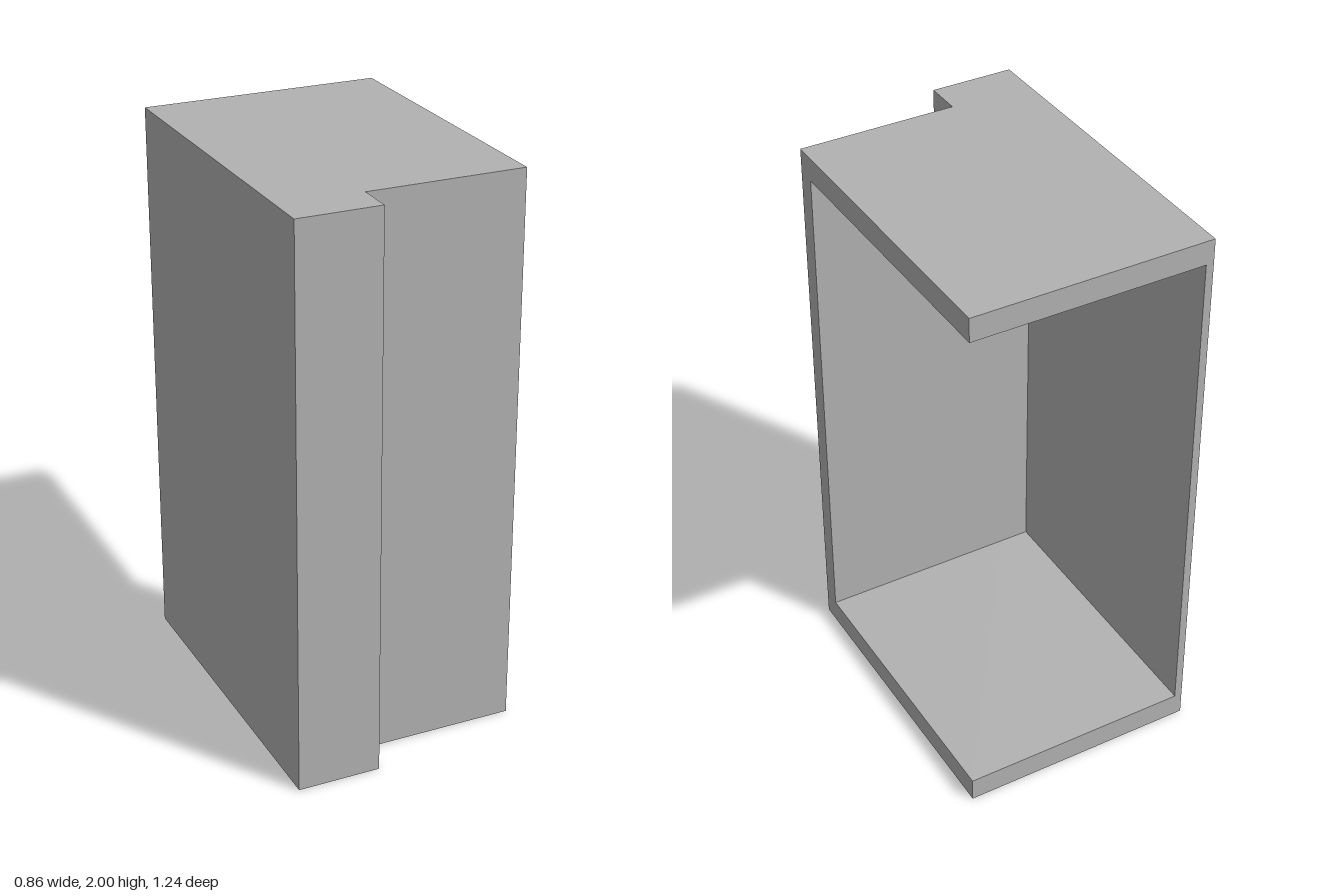
import * as THREE from 'three';

const HEIGHT = 2, SLAB = 0.086;        // overall height, plate thickness
const X = 0.428, BACK = -0.622;        // half width, rear edge
const FRONT = 0.49, RIB = 0.622;       // front wall face, rib face
const RIB_X = -0.133;                  // inner edge of the rib
const INNER_Z = 0.424, SIDE = 0.028;   // back of front wall, side wall thickness

// Upright prism from a plan outline of [x, z] corners
function prism(name, plan, y, height, material) {
  const shape = new THREE.Shape(plan.map(([x, z]) => new THREE.Vector2(x, -z)));
  const geometry = new THREE.ExtrudeGeometry(shape, { depth: height, bevelEnabled: false });
  geometry.rotateX(-Math.PI / 2).translate(0, y, 0);
  const mesh = new THREE.Mesh(geometry, material);
  mesh.name = name;
  return mesh;
}

export function createModel() {
  const group = new THREE.Group();
  group.name = 'openCabinet';
  const grey = new THREE.MeshStandardMaterial({ color: 0xb2b2b2 });
  grey.name = 'light grey';

  // Stepped front edge shared by the plates and the walls
  const frontEdge = [[-X, RIB], [RIB_X, RIB], [RIB_X, FRONT], [X, FRONT]];
  const platePlan = [...frontEdge, [X, BACK], [-X, BACK]];
  const wallPlan = [...frontEdge, [X, INNER_Z], [-X + SIDE, INNER_Z], [-X + SIDE, BACK], [-X, BACK]];

  group.add(
    prism('bottomPlate', platePlan, 0, SLAB, grey),
    prism('frontAndSideWalls', wallPlan, SLAB, HEIGHT - 2 * SLAB, grey),
    prism('topPlate', platePlan, HEIGHT - SLAB, SLAB, grey)
  );
  return group;
}
